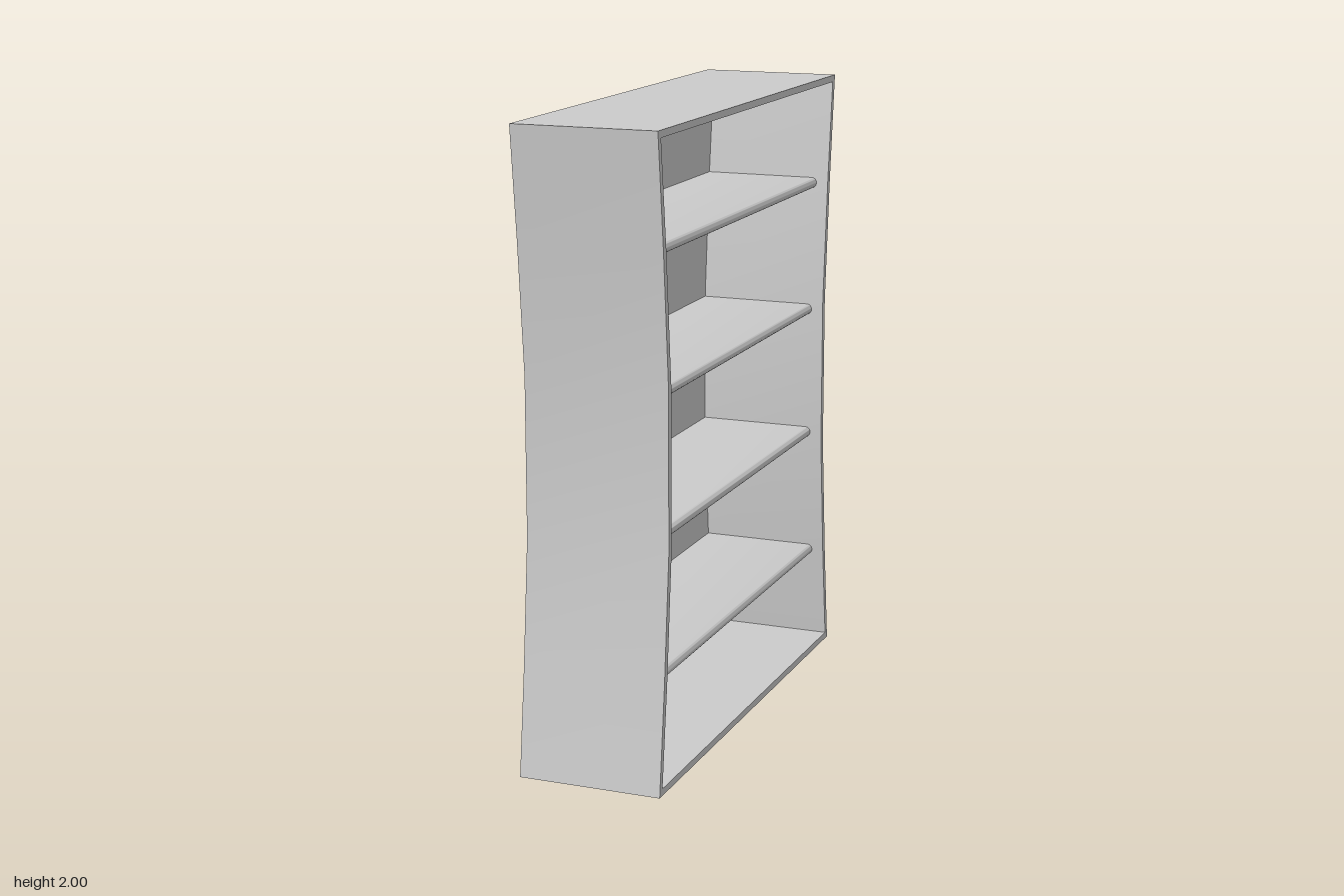
import * as THREE from 'three';
import { toCreasedNormals } from 'three/addons/utils/BufferGeometryUtils.js';

const DEPTH = 0.46, BACK = 0.03, SHELF_T = 0.035;

// Waisted outline, mirrored left to right: rows of [half width, height]
function outline(PathType, rows) {
  const right = rows.map(([w, y]) => new THREE.Vector2(w, y));
  const left = rows.map(([w, y]) => new THREE.Vector2(-w, y)).reverse();
  return new PathType([...right, ...left]);
}

// Extrudes a shape drawn in the z-y plane along x, starting at x0
function extrudeAlongX(shape, x0, depth) {
  const geo = new THREE.ExtrudeGeometry(shape, { depth, bevelEnabled: false });
  geo.rotateY(Math.PI / 2).translate(x0, 0, 0);
  return toCreasedNormals(geo, 0.5);
}

export function createModel() {
  const group = new THREE.Group();
  const material = new THREE.MeshStandardMaterial({ color: 0xcccccc });
  const add = (name, geo) => {
    const mesh = new THREE.Mesh(geo, material);
    mesh.name = name;
    group.add(mesh);
    return mesh;
  };

  const outer = [[0.797, 0], [0.757, 0.34], [0.72, 0.74], [0.72, 1.24], [0.757, 1.65], [0.797, 2]];
  const inner = [[0.774, 0.022], [0.735, 0.34], [0.698, 0.74], [0.698, 1.24], [0.735, 1.65], [0.774, 1.978]];

  // Outer frame, open towards +x
  const frame = outline(THREE.Shape, outer);
  frame.holes.push(outline(THREE.Path, inner));
  add('frame', extrudeAlongX(frame, -DEPTH / 2, DEPTH));

  // Panel closing the -x side
  add('backPanel', extrudeAlongX(outline(THREE.Shape, inner), -DEPTH / 2, BACK));

  // Shelves with a rounded leading edge, set back from the opening
  const r = SHELF_T / 2, xBack = -DEPTH / 2 + BACK, xFront = 0.19;
  const section = new THREE.Shape();
  section.moveTo(xBack, -r);
  section.lineTo(xFront - r, -r);
  section.absarc(xFront - r, 0, r, -Math.PI / 2, Math.PI / 2, false);
  section.lineTo(xBack, r);
  section.closePath();

  const shelves = [[0.338, 0.74], [0.773, 0.703], [1.207, 0.703], [1.638, 0.74]];
  shelves.forEach(([y, half], i) => {
    const geo = new THREE.ExtrudeGeometry(section, { depth: 2 * half, bevelEnabled: false, curveSegments: 12 });
    geo.translate(0, y, -half);
    add(`shelf${i + 1}`, toCreasedNormals(geo, 0.6));
  });

  return group;
}
